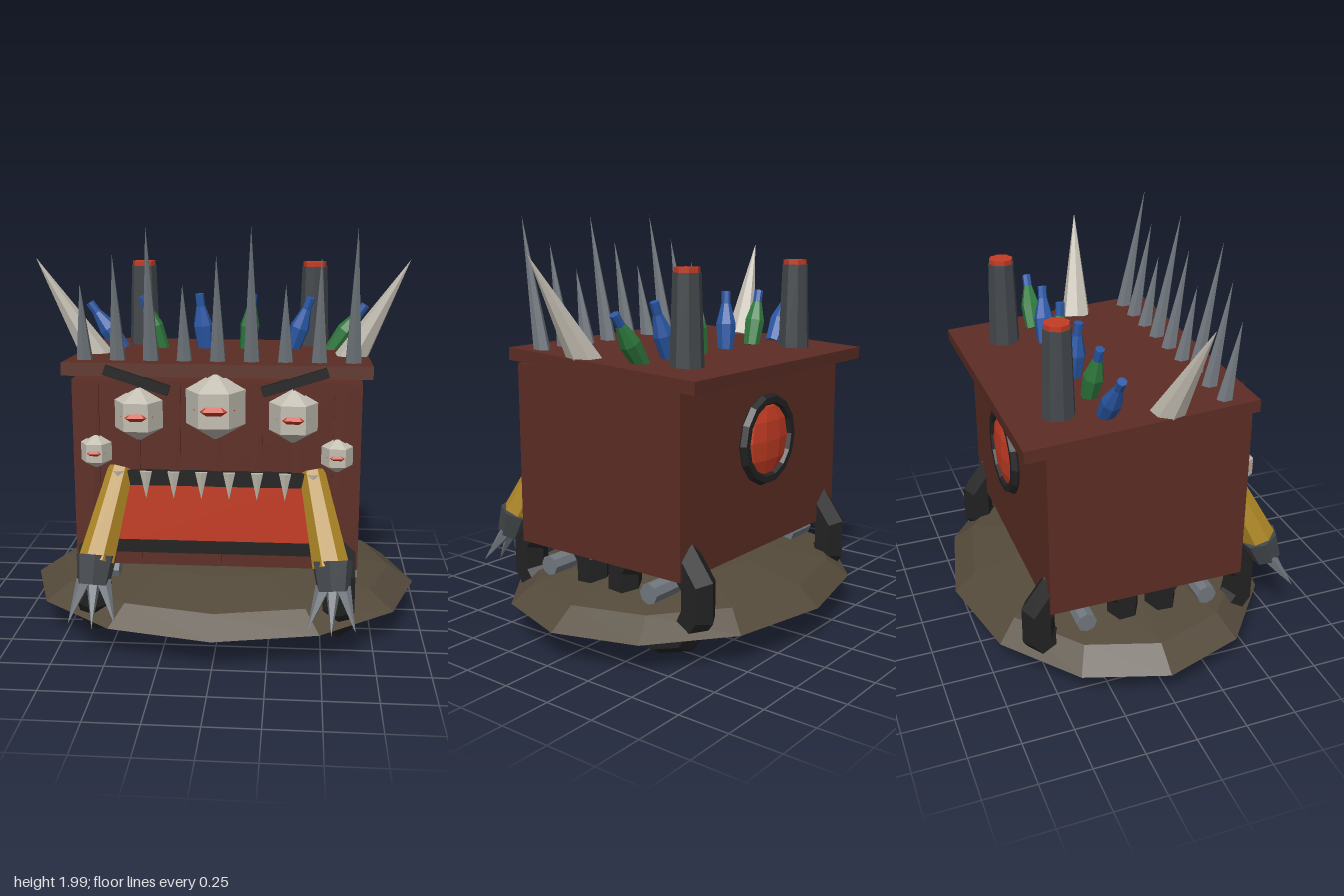
import * as THREE from 'three';

const mat = (name, color, extra = {}) => {
  const m = new THREE.MeshStandardMaterial({ color, ...extra });
  m.name = name;
  return m;
};

export function createModel() {
  const root = new THREE.Group();
  root.name = 'monsterWagon';

  const brown = mat('rust brown', 0x5c2d24);
  const earth = mat('earth', 0x544a3b, { side: THREE.DoubleSide });
  const black = mat('black rubber', 0x222222);
  const red = mat('glowing red', 0xc43c24);
  const bone = mat('bone', 0xc2bdb1);
  const ochre = mat('ochre', 0xb08826);
  const steel = mat('steel', 0x70777d);
  const iron = mat('dark iron', 0x43484c);
  const blue = mat('blue glass', 0x2a58a6);
  const green = mat('green glass', 0x2f7a3e);

  // Adds a faceted mesh
  function add(name, geometry, material, pos = [0, 0, 0], rot = [0, 0, 0], parent = root) {
    const g = geometry.index ? geometry.toNonIndexed() : geometry;
    g.computeVertexNormals();
    const mesh = new THREE.Mesh(g, material);
    mesh.name = name;
    mesh.position.set(...pos);
    mesh.rotation.set(...rot);
    parent.add(mesh);
    return mesh;
  }
  const box = (w, h, d) => new THREE.BoxGeometry(w, h, d);
  const ball = (ws, hs, sx, sy, sz) => new THREE.SphereGeometry(1, ws, hs).scale(sx, sy, sz);

  // Tapered rod from point a (radius ra) to point b (radius rb)
  function rod(name, a, b, ra, rb, sides, material) {
    const from = new THREE.Vector3(...a), dir = new THREE.Vector3(...b).sub(from);
    const len = dir.length();
    const geo = rb ? new THREE.CylinderGeometry(rb, ra, len, sides) : new THREE.ConeGeometry(ra, len, sides);
    const mesh = add(name, geo.translate(0, len / 2, 0), material, a);
    mesh.quaternion.setFromUnitVectors(new THREE.Vector3(0, 1, 0), dir.normalize());
    return mesh;
  }

  // Body and sloping roof
  add('body', box(1.33, 0.89, 0.985), brown, [0, 0.855, -0.005]);
  add('roof', box(1.42, 0.06, 1.11), brown, [0, 1.322, -0.055], [-0.05, 0, 0]);
  for (let i = -3; i <= 3; i++) {
    add('plank', box(0.055, 0.85, 0.012), brown, [i * 0.189, 0.855, 0.492]);
  }

  // Open earth mound
  add('mound', new THREE.SphereGeometry(1, 12, 3, 0, Math.PI * 2, 0, Math.PI / 2).scale(0.982, 0.18, 0.8),
    earth, [0, 0.16, -0.012]);

  // Wheels with short hubs
  for (const x of [-0.58, 0.58]) {
    for (const z of [0.305, -0.32]) {
      const tyre = new THREE.TorusGeometry(0.225, 0.085, 6, 10).rotateZ(Math.PI / 2).rotateY(Math.PI / 2);
      add('wheel', tyre, black, [x, 0.315, z]);
      add('hub', new THREE.CylinderGeometry(0.05, 0.05, 0.18, 8).rotateZ(Math.PI / 2), steel, [x, 0.32, z]);
    }
  }

  // Mouth, lips and teeth
  add('mouth', box(0.96, 0.34, 0.02), red, [0, 0.68, 0.495]);
  add('upperLip', box(0.98, 0.07, 0.04), black, [0, 0.845, 0.495]);
  add('lowerLip', box(0.98, 0.06, 0.04), black, [0, 0.51, 0.495]);
  for (let i = 0; i < 8; i++) {
    const x = (i - 3.5) * 0.1286;
    rod('tooth', [x, 0.88, 0.515], [x, 0.75, 0.525], 0.032, 0, 6, bone);
  }

  // Eyes: x, y, radius
  const eyes = [[0, 1.185, 0.16], [0.355, 1.145, 0.13], [-0.355, 1.145, 0.13], [0.557, 0.965, 0.085], [-0.557, 0.965, 0.085]];
  for (const [x, y, r] of eyes) {
    add('eye', ball(6, 3, r, r, r), bone, [x, y, 0.485]);
    add('pupil', ball(6, 2, r * 0.6, r * 0.42, r * 0.42), red, [x, y, 0.485 + r * 0.5]);
  }

  for (const s of [-1, 1]) {
    add('eyebrow', box(0.31, 0.045, 0.04), black, [s * 0.36, 1.305, 0.505], [0, 0, s * 0.31]);

    // Arm, cuff and claws
    rod('arm', [s * 0.445, 0.88, 0.47], [s * 0.535, 0.49, 0.655], 0.06, 0.085, 7, ochre);
    rod('cuff', [s * 0.54, 0.51, 0.645], [s * 0.548, 0.385, 0.695], 0.095, 0.075, 7, iron);
    for (const k of [-1, 0, 1]) {
      rod('claw', [s * 0.547 + k * 0.045, 0.4, 0.69], [s * 0.54 + k * 0.108, 0.235 - (k ? 0 : 0.02), 0.805], 0.036, 0, 5, steel);
    }

    // Roof horn and chimney
    rod('horn', [s * 0.62, 1.33, 0.08], [s * 0.89, 1.83, 0.167], 0.08, 0, 7, bone);
    rod('chimney', [s * 0.45, 1.31, -0.37], [s * 0.45, 1.752, -0.37], 0.08, 0.065, 8, iron);
    rod('chimneyGlow', [s * 0.45, 1.745, -0.37], [s * 0.45, 1.775, -0.37], 0.06, 0.06, 8, red);
  }

  // Row of roof spikes in three repeating heights
  for (let i = 0; i < 9; i++) {
    const x = (i - 4) * 0.1565, tip = [1.735, 1.865, 1.995][i % 3];
    rod('roofSpike', [x, 1.34, 0.355], [x, tip, 0.355 + (tip - 1.34) * 0.18], 0.043, 0, 6, steel);
  }

  // Bottles fanning outwards
  const lean = [0.1, 0.33, 0.6], foot = [0.108, 0.335, 0.54];
  for (let i = 0; i < 6; i++) {
    const s = i < 3 ? -1 : 1, k = i < 3 ? 2 - i : i - 3;
    const bottle = new THREE.Group();
    bottle.name = 'bottle';
    bottle.position.set(s * foot[k], 1.335, -0.185);
    bottle.rotation.set(0.07, 0, -s * lean[k]);
    root.add(bottle);
    const profile = [[0, 0], [0.04, 0], [0.05, 0.13], [0.024, 0.23], [0, 0.23]].map(p => new THREE.Vector2(...p));
    add('bottleBody', new THREE.LatheGeometry(profile, 7), i % 2 ? green : blue, [0, 0, 0], [0, 0, 0], bottle);
    add('bottleNeck', new THREE.CylinderGeometry(0.023, 0.023, 0.065, 7), blue, [0, 0.26, 0], [0, 0, 0], bottle);
  }

  // Round rear window
  add('windowFrame', new THREE.TorusGeometry(0.195, 0.03, 6, 14), black, [0, 0.945, -0.508]);
  add('windowPane', ball(10, 6, 0.185, 0.185, 0.048), red, [0, 0.945, -0.5]);

  return root;
}
